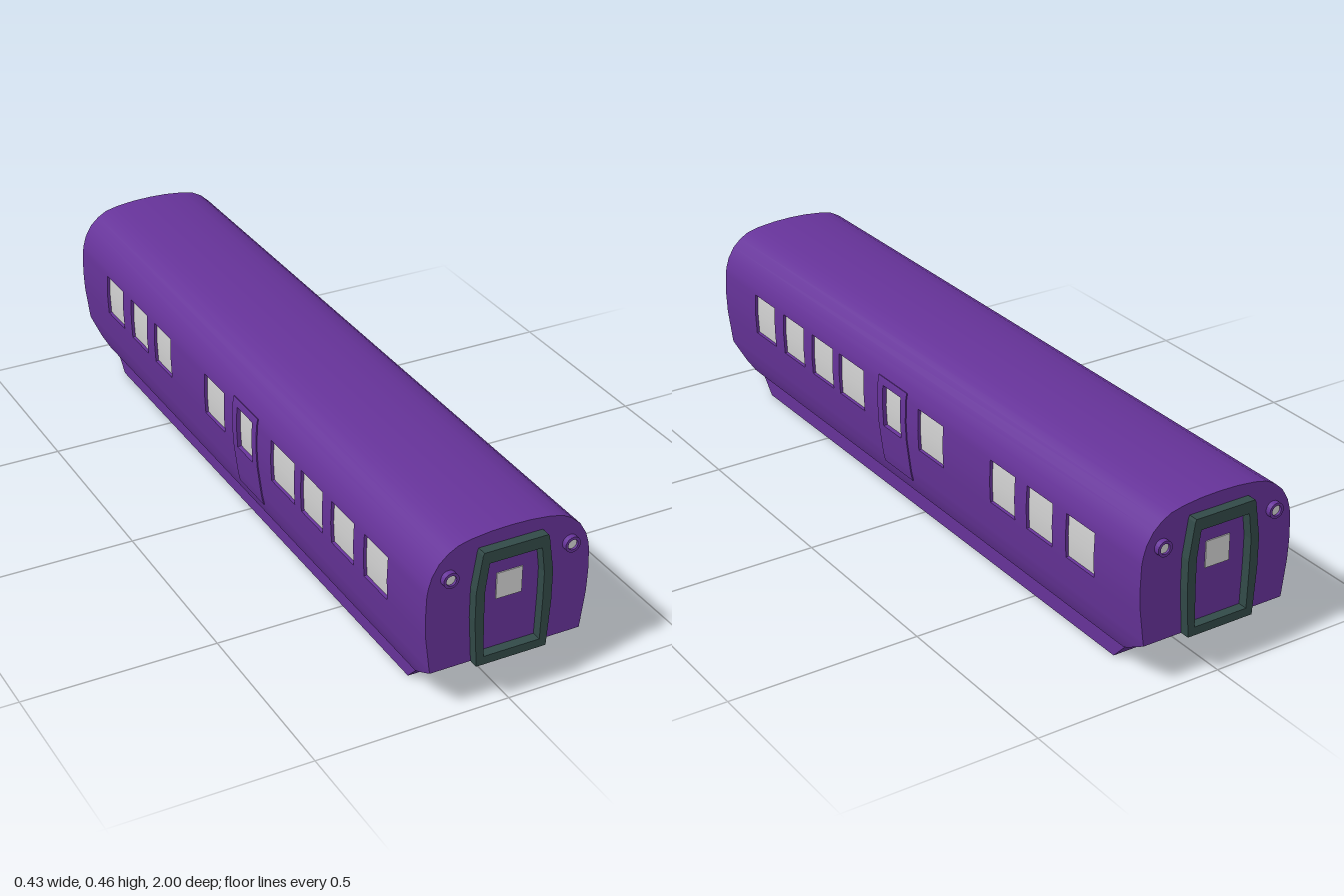
import * as THREE from 'three';

const material = (name, color) => {
  const m = new THREE.MeshStandardMaterial({ color, side: THREE.DoubleSide });
  m.name = name;
  return m;
};

// Half cross-section of the body, from roof crown down to the sill
const PROFILE = [
  [0, 0.455], [0.05, 0.4535], [0.1, 0.448], [0.135, 0.44], [0.16, 0.426], [0.183, 0.405],
  [0.2, 0.376], [0.208, 0.35], [0.2115, 0.33], [0.2135, 0.27], [0.211, 0.215],
  [0.2, 0.13], [0.198, 0.118], [0.194, 0.1], [0.189, 0.08], [0.18, 0.06],
];
const row = (y) => PROFILE.findIndex((p) => p[1] === y);
const LAST = PROFILE.length - 1;
const WIN_TOP = row(0.33), WIN_BOTTOM = row(0.215);
const DOOR_TOP = row(0.35), DOOR_BOTTOM = row(0.1), CHIN = row(0.118);
const NORMALS = PROFILE.map((p, i) => {
  if (i === 0) return [0, 1];
  const a = PROFILE[i - 1], b = PROFILE[Math.min(i + 1, LAST)];
  const dx = b[0] - a[0], dy = b[1] - a[1], l = Math.hypot(dx, dy);
  return [-dy / l, dx / l];
});
const END = 0.975, INSET = -0.008;
// Half length of the body: the ends slope inward below the chin
const halfLength = (y) => (y >= 0.118 ? END : 0.88 + ((y - 0.06) / 0.058) * (END - 0.88));

// Window spans along z, the fifth one sits in the side door
const WINDOWS = [
  [-0.8, -0.69], [-0.635, -0.53], [-0.48, -0.375], [-0.165, -0.05],
  [0.03, 0.115], [0.215, 0.34], [0.375, 0.485], [0.53, 0.64], [0.69, 0.8],
];
const DOOR = [0.005, 0.14];

const point = (s, i, z, off) => [
  s * (PROFILE[i][0] + NORMALS[i][0] * off), PROFILE[i][1] + NORMALS[i][1] * off, z,
];

// Smooth strip of the body surface between two profile rows
function band(s, i0, i1, z0, z1, off = 0) {
  const pos = [], nor = [], idx = [];
  for (let i = i0; i <= i1; i++) {
    const h = halfLength(PROFILE[i][1]);
    for (const z of [Math.max(z0, -h), Math.min(z1, h)]) {
      pos.push(...point(s, i, z, off));
      nor.push(s * NORMALS[i][0], NORMALS[i][1], 0);
    }
    if (i === i1) break;
    const a = (i - i0) * 2, d = a + 1, b = a + 2, c = a + 3;
    idx.push(...(s > 0 ? [a, c, b, a, d, c] : [a, b, c, a, c, d]));
  }
  const g = new THREE.BufferGeometry();
  g.setAttribute('position', new THREE.Float32BufferAttribute(pos, 3));
  g.setAttribute('normal', new THREE.Float32BufferAttribute(nor, 3));
  g.setIndex(idx);
  return g;
}

// Flat quads joining two equal rows of points
function joinRows(a, b) {
  const pos = [];
  for (let i = 0; i < a.length - 1; i++) {
    pos.push(...a[i], ...b[i], ...b[i + 1], ...a[i], ...b[i + 1], ...a[i + 1]);
  }
  const g = new THREE.BufferGeometry();
  g.setAttribute('position', new THREE.Float32BufferAttribute(pos, 3));
  g.computeVertexNormals();
  return g;
}

// Edge around a rectangular opening or panel on the body side
function rim(s, i0, i1, z0, z1, from, to) {
  const loop = (off) => {
    const pts = [];
    for (let i = i0; i <= i1; i++) pts.push(point(s, i, z0, off));
    for (let i = i1; i >= i0; i--) pts.push(point(s, i, z1, off));
    pts.push(pts[0]);
    return pts;
  };
  return joinRows(loop(from), loop(to));
}

const outline = (half) => [...half, ...half.map(([x, y]) => [-x, y]).reverse()]
  .map(([x, y]) => new THREE.Vector2(x, y));

export function createModel() {
  const model = new THREE.Group();
  model.name = 'railCarriage';
  const purple = material('purple paint', 0x663399);
  const dark = material('dark slate', 0x324a48);
  const pale = material('pale glass', 0xd3d3d3);
  const add = (parent, name, geometry, mat, x = 0, y = 0, z = 0) => {
    const mesh = new THREE.Mesh(geometry, mat);
    mesh.name = name;
    mesh.position.set(x, y, z);
    parent.add(mesh);
    return mesh;
  };

  // Body sides with recessed windows and a raised door
  for (const s of [1, -1]) {
    const side = new THREE.Group();
    side.name = s > 0 ? 'leftSide' : 'rightSide';
    model.add(side);
    add(side, 'roofShell', band(s, 0, WIN_TOP, -END, END), purple);
    add(side, 'lowerWall', band(s, WIN_BOTTOM, LAST, -END, END), purple);
    let z = -END;
    for (const [z0, z1] of [...WINDOWS, [END, END]]) {
      add(side, 'windowPillar', band(s, WIN_TOP, WIN_BOTTOM, z, z0), purple);
      z = z1;
    }
    for (const [z0, z1] of WINDOWS) {
      const inDoor = z0 > DOOR[0] && z1 < DOOR[1];
      add(side, 'windowReveal', rim(s, WIN_TOP, WIN_BOTTOM, z0, z1, inDoor ? 0.003 : 0, INSET), purple);
      add(side, 'windowPane', band(s, WIN_TOP, WIN_BOTTOM, z0, z1, INSET), pale);
    }
    const [d0, d1] = DOOR, [w0, w1] = WINDOWS[4];
    add(side, 'doorTop', band(s, DOOR_TOP, WIN_TOP, d0, d1, 0.003), purple);
    add(side, 'doorLower', band(s, WIN_BOTTOM, DOOR_BOTTOM, d0, d1, 0.003), purple);
    add(side, 'doorPost', band(s, WIN_TOP, WIN_BOTTOM, d0, w0, 0.003), purple);
    add(side, 'doorPost', band(s, WIN_TOP, WIN_BOTTOM, w1, d1, 0.003), purple);
    add(side, 'doorEdge', rim(s, DOOR_TOP, DOOR_BOTTOM, d0, d1, 0.003, 0), purple);
  }

  // Shapes shared by both ends
  const wall = new THREE.Shape(outline(PROFILE.slice(0, CHIN + 1)));
  const frame = new THREE.Shape(outline([
    [0.083, 0.419], [0.086, 0.412], [0.1, 0.32], [0.1, 0.24], [0.092, 0.118],
  ]));
  frame.holes.push(new THREE.Path(outline([
    [0.068, 0.388], [0.077, 0.32], [0.077, 0.25], [0.074, 0.14],
  ])));
  const ring = new THREE.Shape().absarc(0, 0, 0.02, 0, Math.PI * 2);
  ring.holes.push(new THREE.Path().absarc(0, 0, 0.013, 0, Math.PI * 2));

  for (const e of [1, -1]) {
    const end = new THREE.Group();
    end.name = e > 0 ? 'frontEnd' : 'backEnd';
    if (e < 0) end.rotation.y = Math.PI;
    model.add(end);
    add(end, 'endWall', new THREE.ShapeGeometry(wall), purple, 0, 0, END);
    add(end, 'gangwayFrame', new THREE.ExtrudeGeometry(frame, { depth: 0.025, bevelEnabled: false }), dark, 0, 0, END);
    add(end, 'endDoorWindow', new THREE.BoxGeometry(0.067, 0.068, 0.004), pale, 0, 0.304, END + 0.001);
    // Sloping chin
    const edge = (s) => PROFILE.slice(CHIN).map(([x, y]) => [s * x, y, halfLength(y)]);
    add(end, 'chin', joinRows(edge(1), edge(-1)), dark);
    // Lamps
    for (const s of [1, -1]) {
      add(end, 'lampRing', new THREE.ExtrudeGeometry(ring, { depth: 0.014, bevelEnabled: false, curveSegments: 12 }),
        purple, s * 0.158, 0.363, END);
      add(end, 'lampLens', new THREE.CircleGeometry(0.0135, 16), pale, s * 0.158, 0.363, END + 0.008);
    }
  }

  // Floor and tapered underframe
  add(model, 'floor', new THREE.BoxGeometry(0.36, 0.004, 1.76), dark, 0, 0.062, 0);
  const taper = new THREE.Shape(outline([[0.876, 0.06], [0.82, 0]]));
  const skirt = new THREE.ExtrudeGeometry(taper, { depth: 0.326, bevelEnabled: false });
  skirt.translate(0, 0, -0.163).rotateY(Math.PI / 2);
  add(model, 'underframe', skirt, purple);
  return model;
}
